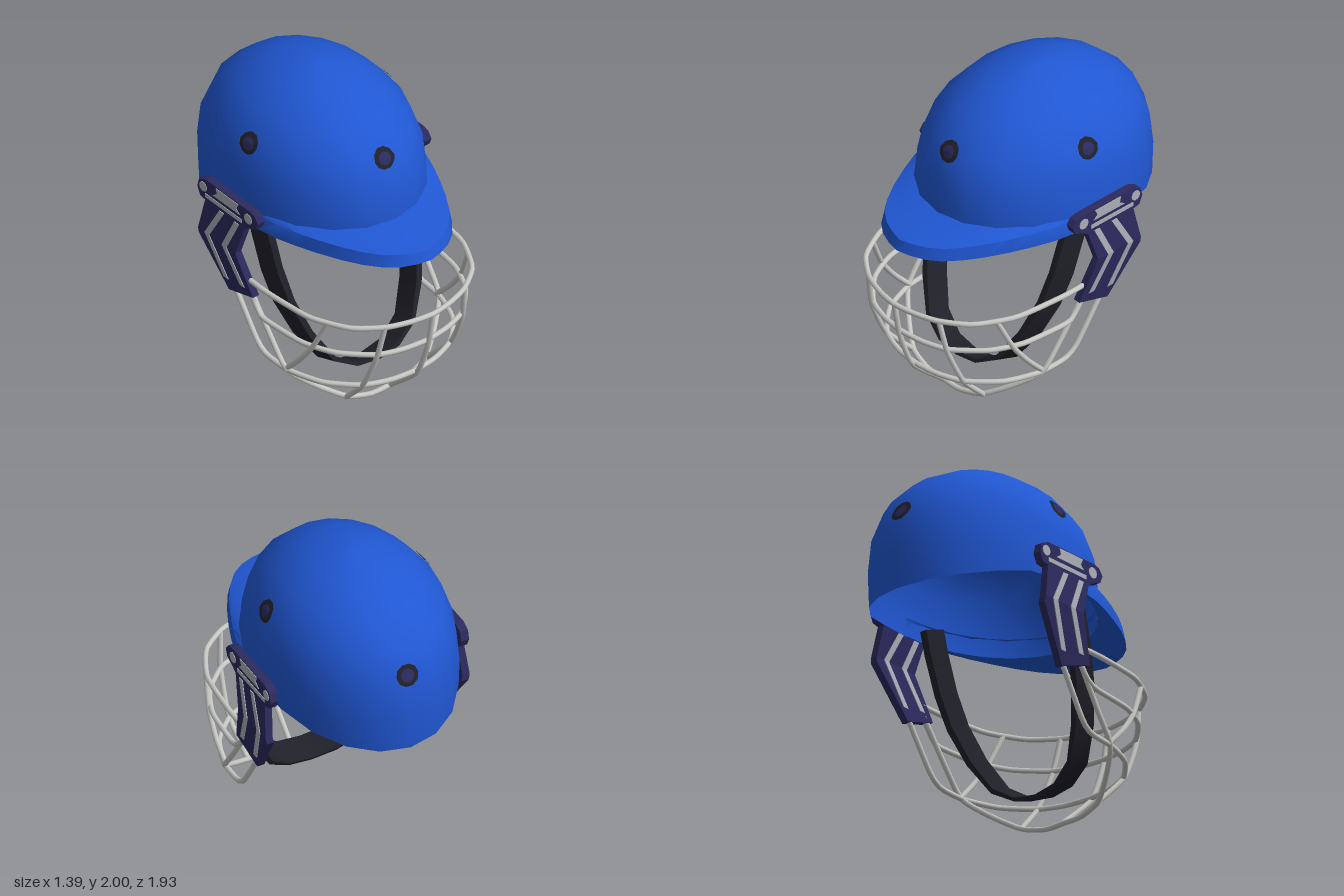
import * as THREE from 'three';
import { toCreasedNormals } from 'three/addons/utils/BufferGeometryUtils.js';

const mat = (name, color, side = THREE.FrontSide) => {
  const m = new THREE.MeshStandardMaterial({ color, side });
  m.name = name;
  return m;
};
const blue = mat('blue shell', 0x2057d3, THREE.DoubleSide);
const navy = mat('navy plastic', 0x2c2a5e);
const black = mat('black padding', 0x202029);
const silver = mat('silver trim', 0xacb0b8);
const steel = mat('steel wire', 0xc8c8c5);

const CZ = -0.185, RX = 0.615, RZ = 0.785; // centre and radii of the shell
// Shell profile: [share of the radius, height]
const PROFILE = [[0.99, 1.17], [1, 1.29], [0.97, 1.5], [0.867, 1.69], [0.665, 1.84], [0.41, 1.945], [0.15, 1.993], [0, 2]];

function add(group, name, geometry, material) {
  const m = new THREE.Mesh(geometry, material);
  m.name = name;
  group.add(m);
}

// Open shell: an oval lathe whose rim drops towards the back
function shellGeometry() {
  const g = new THREE.LatheGeometry(PROFILE.map(([r, y]) => new THREE.Vector2(r, y)), 20);
  g.scale(RX, 1, RZ);
  g.translate(0, 0, CZ);
  const p = g.attributes.position;
  for (let i = 0; i < p.count; i++) {
    if (p.getY(i) < 1.2) p.setY(i, 1.17 - 0.14 * Math.max(0, (-0.37 - p.getZ(i)) / 0.6));
  }
  return g;
}

// Peak: cross-sections swept round the front half of the shell
function peakGeometry() {
  const half = [[0, 0.927], [0.09, 0.907], [0.18, 0.87], [0.26, 0.81], [0.34, 0.71], [0.41, 0.59], [0.475, 0.45], [0.53, 0.31], [0.575, 0.17], [0.6, 0.03], [0.611, CZ]];
  const pos = [], index = [];
  for (let i = -10; i <= 10; i++) {
    const k = Math.abs(i), s = Math.sign(i), a = i * Math.PI / 20;
    const [ox, oz] = half[k];
    const ix = 0.98 * RX * Math.sin(a), iz = CZ + 0.98 * RZ * Math.cos(a);
    const inset = 0.025 * Math.cos(a);
    pos.push(ix, 1.292, iz, s * (ox - inset * 0.3), 1.235 + 0.004 * k, oz - inset, s * ox, 1.17, oz, ix, 1.17, iz);
  }
  for (let i = 0; i < 20; i++) {
    for (let j = 0; j < 3; j++) {
      const a = i * 4 + j, b = a + 4;
      index.push(a, a + 1, b, b, a + 1, b + 1);
    }
  }
  const g = new THREE.BufferGeometry();
  g.setAttribute('position', new THREE.Float32BufferAttribute(pos, 3));
  g.setIndex(index);
  return toCreasedNormals(g, 0.9);
}

// Side plate: [z, y] outline extruded along x, its inner face following inner(y)
function plate(side, outline, thickness, inner) {
  const shape = new THREE.Shape(outline.map(([z, y]) => new THREE.Vector2(-z, y)));
  const g = new THREE.ExtrudeGeometry(shape, { depth: thickness, bevelEnabled: false });
  g.rotateY(Math.PI / 2);
  const p = g.attributes.position;
  for (let i = 0; i < p.count; i++) {
    p.setX(i, p.getX(i) + side * inner(p.getY(i)) - (side < 0 ? thickness : 0));
  }
  g.computeVertexNormals();
  return g;
}

const disc = (z, y, r) => Array.from({ length: 10 }, (_, i) => {
  const a = i * Math.PI / 5;
  return [z + r * Math.cos(a), y + r * Math.sin(a)];
});

function bracket(side) {
  const g = new THREE.Group();
  g.name = side > 0 ? 'leftBracket' : 'rightBracket';
  const KNEE = 0.97, T = 0.048;
  const bend = y => (y > KNEE ? 0.64 - 0.02 * (y - KNEE) / 0.23 : 0.64 - 0.06 * (KNEE - y) / 0.37);

  // Mounting bar and its trim
  const bar = [[0.12, 1.285], [0.09, 1.325], [0.05, 1.337], [-0.37, 1.337], [-0.43, 1.31], [-0.445, 1.25],
    [-0.42, 1.195], [-0.37, 1.185], [0, 1.185], [0.04, 1.21], [0.1, 1.235]];
  add(g, 'mountingBar', plate(side, bar, 0.053, () => 0.616), navy);
  const trims = [
    disc(0.03, 1.275, 0.036), disc(-0.39, 1.275, 0.034),
    [[-0.06, 1.33], [-0.27, 1.33], [-0.26, 1.29], [-0.3, 1.262], [-0.05, 1.262], [-0.08, 1.29]],
    [[-0.03, 1.237], [-0.37, 1.237], [-0.37, 1.21], [-0.03, 1.21]],
  ];
  for (const t of trims) add(g, 'barTrim', plate(side, t, 0.006, () => 0.667), silver);

  // Arm, bent at the knee
  add(g, 'upperArm', plate(side, [[0, 1.2], [-0.07, KNEE], [-0.415, KNEE], [-0.37, 1.2]], T, bend), navy);
  add(g, 'lowerArm', plate(side, [[-0.07, KNEE], [0.04, 0.68], [-0.2, 0.6], [-0.42, 0.93], [-0.415, KNEE]], T, bend), navy);

  // Stripes on both faces of the arm
  const W = 0.021;
  for (const [top, knee, end, endY] of [[-0.075, -0.17, -0.05, 0.72], [-0.215, -0.33, -0.205, 0.69]]) {
    for (const [z0, y0, z1, y1] of [[top, 1.185, knee, KNEE], [knee, KNEE, end, endY]]) {
      const strip = [[z0 + W, y0], [z0 - W, y0], [z1 - W, y1], [z1 + W, y1]];
      add(g, 'outerStripe', plate(side, strip, 0.006, y => bend(y) + T - 0.001), silver);
      add(g, 'innerStripe', plate(side, strip, 0.006, y => bend(y) - 0.005), silver);
    }
  }
  return g;
}

// Lay a flat disc or ring on the shell, standing clear by a small lift
function drape(geometry, position, normal, lift) {
  const turn = new THREE.Quaternion().setFromUnitVectors(new THREE.Vector3(0, 0, 1), new THREE.Vector3(...normal).normalize());
  geometry.applyQuaternion(turn).translate(...position);
  const p = geometry.attributes.position;
  for (let i = 0; i < p.count; i++) {
    const x = p.getX(i), y = p.getY(i), z = p.getZ(i) - CZ;
    const k = PROFILE.findIndex(q => q[1] >= y);
    const [[r0, y0], [r1, y1]] = [PROFILE[k - 1], PROFILE[k]];
    const r = r0 + (r1 - r0) * (y - y0) / (y1 - y0) + lift;
    const f = r / Math.hypot(x / RX, z / RZ);
    p.setXYZ(i, x * f, y, z * f + CZ);
  }
  geometry.computeVertexNormals();
  return geometry;
}

// Vent: dark ring with a navy plug
function vent(name, position, normal) {
  const g = new THREE.Group();
  g.name = name;
  add(g, 'ventRing', drape(new THREE.RingGeometry(0.042, 0.072, 10, 3), position, normal, 0.008), black);
  add(g, 'ventPlug', drape(new THREE.RingGeometry(0.0005, 0.043, 10, 4), position, normal, 0.009), navy);
  return g;
}

// Chin strap: U-shaped band leaning forward, thinner under the chin
function strapGeometry() {
  const outer = [[0.56, 1.24], [0.56, 1.1], [0.545, 0.85], [0.51, 0.64], [0.43, 0.42], [0.31, 0.23], [0.16, 0.145], [0, 0.125]];
  const inner = [[0.512, 1.24], [0.512, 1.1], [0.5, 0.86], [0.47, 0.66], [0.4, 0.445], [0.295, 0.255], [0.155, 0.165], [0, 0.143]];
  const flip = list => list.slice(0, -1).reverse().map(([x, y]) => [-x, y]);
  const loop = [...outer, ...flip(outer), ...flip(inner).reverse(), ...inner.slice().reverse()];
  const shape = new THREE.Shape(loop.map(([x, y]) => new THREE.Vector2(x, y)));
  const g = new THREE.ExtrudeGeometry(shape, { depth: 0.17, bevelEnabled: false });
  const p = g.attributes.position;
  for (let i = 0; i < p.count; i++) {
    const y = p.getY(i), d = p.getZ(i) - 0.085;
    const sag = 0.03 * Math.sin(Math.PI * Math.min(1, (1.24 - y) / 1.115));
    p.setY(i, y + 0.34 * d);
    p.setZ(i, 0.36 * (1.17 - y) + 0.94 * d - 0.01 - sag);
  }
  return toCreasedNormals(g, 0.7);
}

function wire(points) {
  const curve = new THREE.CatmullRomCurve3(points.map(p => new THREE.Vector3(...p)), false, 'catmullrom', 0.3);
  return new THREE.TubeGeometry(curve, points.length * 4, 0.017, 8);
}

function faceGuard() {
  const g = new THREE.Group();
  g.name = 'faceGuard';
  // Cross bars: left halves, from the centre to the bracket
  const bars = {
    topBar: [[0, 0.78, 0.945], [0.14, 0.78, 0.925], [0.3, 0.78, 0.87], [0.47, 0.78, 0.74], [0.59, 0.78, 0.5], [0.627, 0.78, 0.15], [0.625, 0.78, -0.03]],
    middleBar: [[0, 0.555, 0.89], [0.17, 0.555, 0.87], [0.33, 0.555, 0.81], [0.5, 0.555, 0.64], [0.59, 0.555, 0.43], [0.62, 0.56, 0.12], [0.615, 0.6, 0.05], [0.612, 0.7, -0.03]],
    lowerBar: [[0, 0.265, 0.78], [0.17, 0.265, 0.76], [0.34, 0.265, 0.69], [0.5, 0.265, 0.52], [0.58, 0.265, 0.3], [0.59, 0.275, 0.11], [0.595, 0.34, 0.02], [0.605, 0.63, -0.17]],
    chinBar: [[0, 0.018, 0.54], [0.14, 0.02, 0.54], [0.3, 0.06, 0.51], [0.45, 0.15, 0.41], [0.585, 0.265, 0.29], [0.6, 0.45, 0.15], [0.612, 0.7, -0.02]],
  };
  for (const [name, half] of Object.entries(bars)) {
    const other = half.slice(1).reverse().map(([x, y, z]) => [-x, y, z]);
    add(g, name, wire([...other, ...half]), steel);
  }
  // Uprights
  add(g, 'centreUpright', wire([[0, 0.785, 0.945], [0, 0.53, 0.9], [0, 0.26, 0.795], [0, 0.02, 0.54]]), steel);
  for (const s of [-1, 1]) {
    add(g, 'innerUpright', wire([[s * 0.305, 0.785, 0.868], [s * 0.33, 0.54, 0.82], [s * 0.34, 0.27, 0.7], [s * 0.31, 0.06, 0.51]]), steel);
    add(g, 'outerUpright', wire([[s * 0.54, 0.785, 0.62], [s * 0.575, 0.55, 0.51], [s * 0.588, 0.4, 0.4], [s * 0.58, 0.27, 0.28]]), steel);
  }
  return g;
}

export function createModel() {
  const model = new THREE.Group();
  model.name = 'helmet';
  add(model, 'shell', shellGeometry(), blue);
  add(model, 'peak', peakGeometry(), blue);
  add(model, 'chinStrap', strapGeometry(), black);
  model.add(vent('frontVent', [-0.005, 1.68, 0.49], [0, 0.57, 0.82]));
  model.add(vent('backVent', [0.005, 1.55, -0.91], [0, 0.38, -0.92]));
  for (const s of [-1, 1]) {
    model.add(vent('sideVent', [s * 0.53, 1.68, -0.13], [s * 0.88, 0.47, 0]));
    model.add(bracket(s));
  }
  model.add(faceGuard());
  return model;
}
